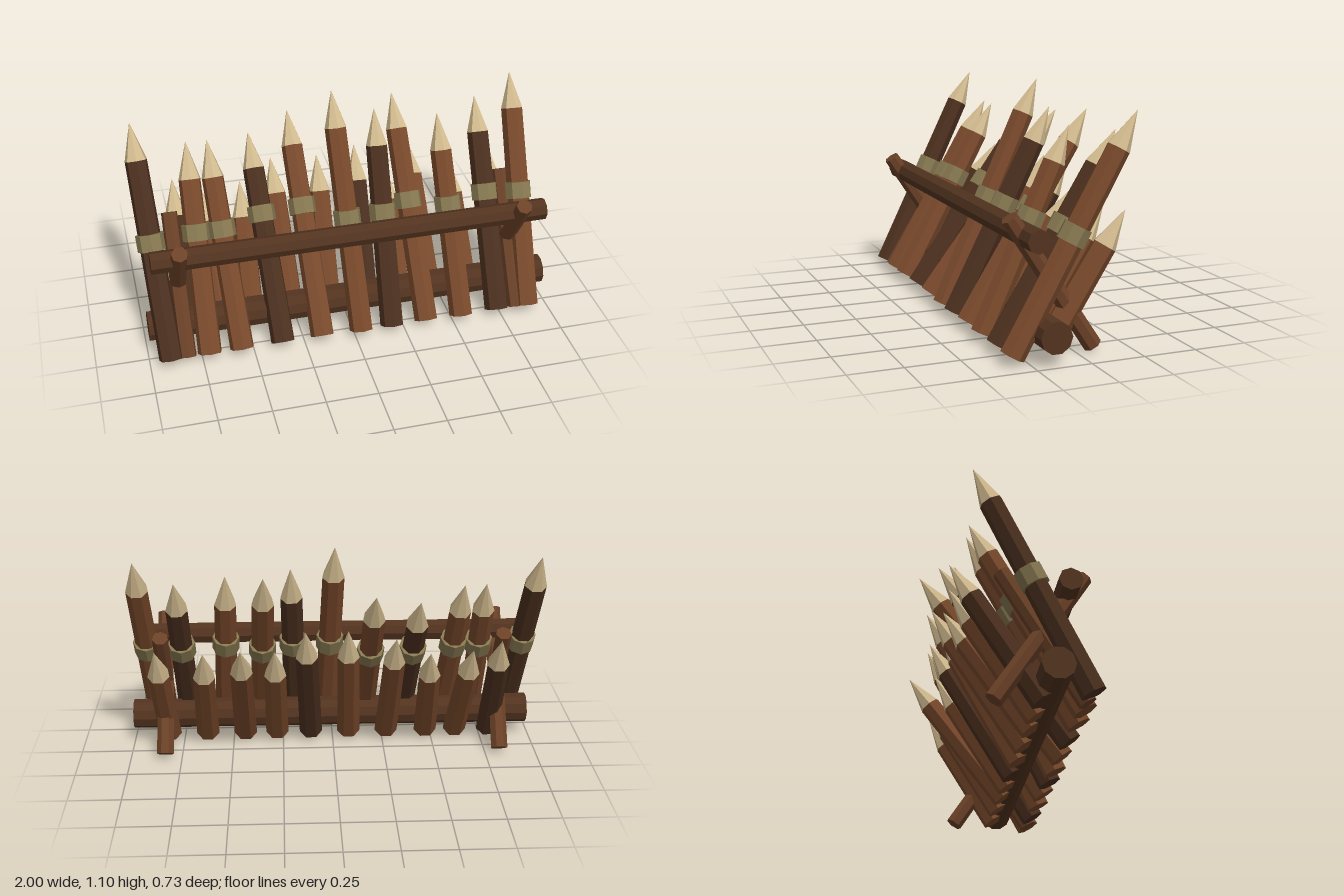
import * as THREE from 'three';

const wood = (color) => new THREE.MeshStandardMaterial({ color, flatShading: true });
const MAT = {
  light: wood(0x7a4a2c), dark: wood(0x4c301f), beam: wood(0x52331f),
  post: wood(0x6b4127), tip: wood(0xd0b98e), rope: wood(0x857750),
};
const UP = new THREE.Vector3(0, 1, 0);

// Faceted log running from point a to point b
function log(name, a, b, rA, rB, sides, mat) {
  const dir = b.clone().sub(a);
  const mesh = new THREE.Mesh(new THREE.CylinderGeometry(rB, rA, dir.length(), sides), mat);
  mesh.name = name;
  mesh.position.copy(a).addScaledVector(dir, 0.5);
  mesh.quaternion.setFromUnitVectors(UP, dir.normalize());
  return mesh;
}

// Sharpened stake: shaft, pale carved point and optional rope binding
function stake(name, base, tip, mat, bound) {
  const g = new THREE.Group();
  g.name = name;
  const dir = tip.clone().sub(base).normalize();
  const neck = tip.clone().addScaledVector(dir, -0.18);
  g.add(log('shaft', base, neck, 0.058, 0.053, 7, mat));
  g.add(log('carvedPoint', neck, tip, 0.054, 0, 7, MAT.tip));
  if (bound) {
    const mid = base.clone().addScaledVector(dir, (0.545 - base.y) / dir.y);
    g.add(log('ropeBinding', mid.clone().addScaledVector(dir, -0.04),
      mid.clone().addScaledVector(dir, 0.04), 0.066, 0.066, 8, MAT.rope));
  }
  return g;
}

export function createModel() {
  const model = new THREE.Group();
  model.name = 'stakeBarricade';
  const V = (x, y, z) => new THREE.Vector3(x, y, z);

  // Tall front row: base x, then tip x, y, z
  [
    [-0.90, -0.955, 1.05, -0.19], [-0.715, -0.705, 0.92, -0.18], [-0.56, -0.605, 0.915, -0.18],
    [-0.36, -0.39, 0.87, -0.285], [-0.165, -0.18, 0.925, -0.36], [0.03, 0, 1.105, -0.175],
    [0.185, 0.205, 0.995, -0.15], [0.36, 0.33, 0.995, -0.285], [0.54, 0.51, 0.95, -0.11],
    [0.725, 0.74, 0.955, -0.225], [0.885, 0.92, 1.06, -0.235],
  ].forEach(([bx, x, y, z], i) => model.add(
    stake('frontStake', V(bx, 0.04, 0.32), V(x, y, z), i % 3 ? MAT.light : MAT.dark, true)));

  // Short back row
  [
    [-0.79, -0.775, 0.67, -0.27], [-0.62, -0.645, 0.62, -0.26], [-0.47, -0.445, 0.61, -0.265],
    [-0.27, -0.28, 0.70, -0.305], [-0.08, -0.06, 0.72, -0.245], [0.11, 0.14, 0.73, -0.28],
    [0.28, 0.285, 0.62, -0.24], [0.44, 0.44, 0.67, -0.36], [0.63, 0.62, 0.61, -0.235],
    [0.82, 0.845, 0.62, -0.225],
  ].forEach(([bx, x, y, z], i) => model.add(
    stake('backStake', V(bx, 0.045, 0.13), V(x, y, z), i % 5 ? MAT.light : MAT.dark, false)));

  // Horizontal beams
  model.add(log('topBeam', V(-0.95, 0.54, 0.23), V(0.965, 0.54, 0.23), 0.053, 0.053, 8, MAT.beam));
  model.add(log('bottomBeam', V(-0.985, 0.132, 0.163), V(1, 0.132, 0.163), 0.073, 0.073, 10, MAT.beam));

  // Crossed support posts at each end
  for (const x of [-0.82, 0.83]) {
    model.add(log('forwardPost', V(x, 0.025, -0.083), V(x, 0.622, 0.31), 0.042, 0.039, 7, MAT.post));
    model.add(log('rearwardPost', V(x, 0.03, 0.31), V(x, 0.622, -0.05), 0.042, 0.039, 7, MAT.post));
  }
  return model;
}
